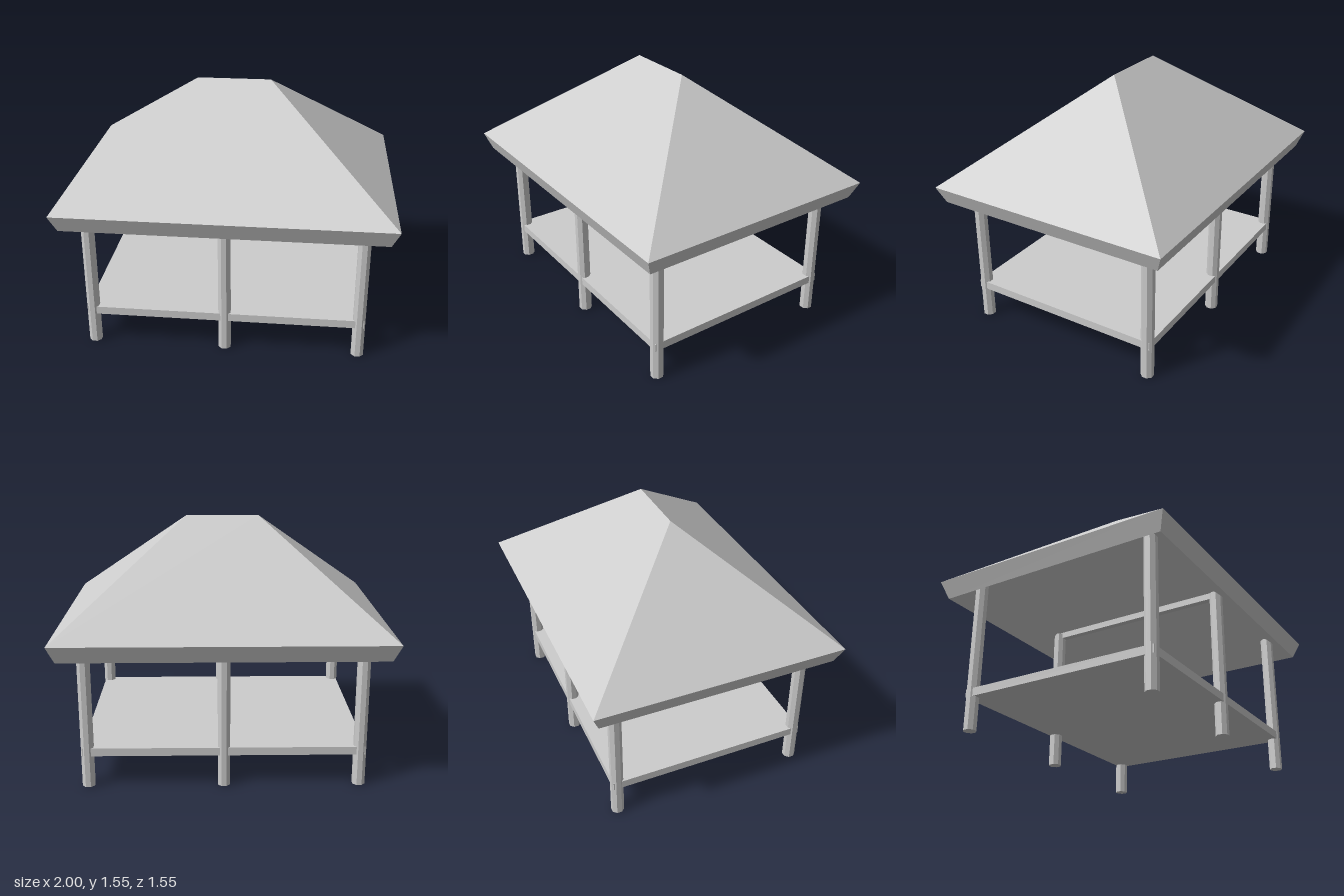
import * as THREE from 'three';

// Hipped roof shell: four rectangular rings joined from the inner ridge round the eave to the outer ridge
function roofGeometry() {
  const rings = [ // half width, height, half depth
    [0.225, 1.41, 0],
    [0.957, 0.825, 0.735],
    [1, 0.93, 0.775],
    [0.225, 1.55, 0],
  ].map(([x, y, z]) => [[1, 1], [1, -1], [-1, -1], [-1, 1]]
    .map(([sx, sz]) => new THREE.Vector3(sx * x, y, sz * z)));
  const points = [];
  const addTriangle = (a, b, c) => {
    if (new THREE.Triangle(a, b, c).getArea() > 1e-6) points.push(a, b, c);
  };
  for (let r = 0; r < 3; r++) {
    for (let i = 0; i < 4; i++) {
      const j = (i + 1) % 4;
      const low = rings[r], high = rings[r + 1];
      addTriangle(low[i], low[j], high[j]);
      addTriangle(low[i], high[j], high[i]);
    }
  }
  const geometry = new THREE.BufferGeometry().setFromPoints(points);
  geometry.computeVertexNormals();
  return geometry;
}

export function createModel() {
  const group = new THREE.Group();
  const grey = new THREE.MeshStandardMaterial({ color: 0xcccccc, flatShading: true });
  grey.name = 'light grey';

  const add = (name, geometry, x, y, z) => {
    const mesh = new THREE.Mesh(geometry, grey);
    mesh.name = name;
    mesh.position.set(x, y, z);
    group.add(mesh);
  };

  add('roof', roofGeometry(), 0, 0, 0);
  add('floor', new THREE.BoxGeometry(1.7, 0.05, 1.254), 0, 0.225, 0);

  // Six eight-sided posts, flats facing the axes
  const postHeight = 0.93;
  const post = new THREE.CylinderGeometry(0.04, 0.04, postHeight, 8);
  post.rotateY(Math.PI / 8);
  for (const x of [-0.82, 0, 0.82]) {
    for (const z of [-0.598, 0.598]) add('post', post, x, postHeight / 2, z);
  }

  // Tie beam between the middle posts
  add('tieBeam', new THREE.BoxGeometry(0.04, 0.04, 1.2), 0, 0.915, 0);
  return group;
}
